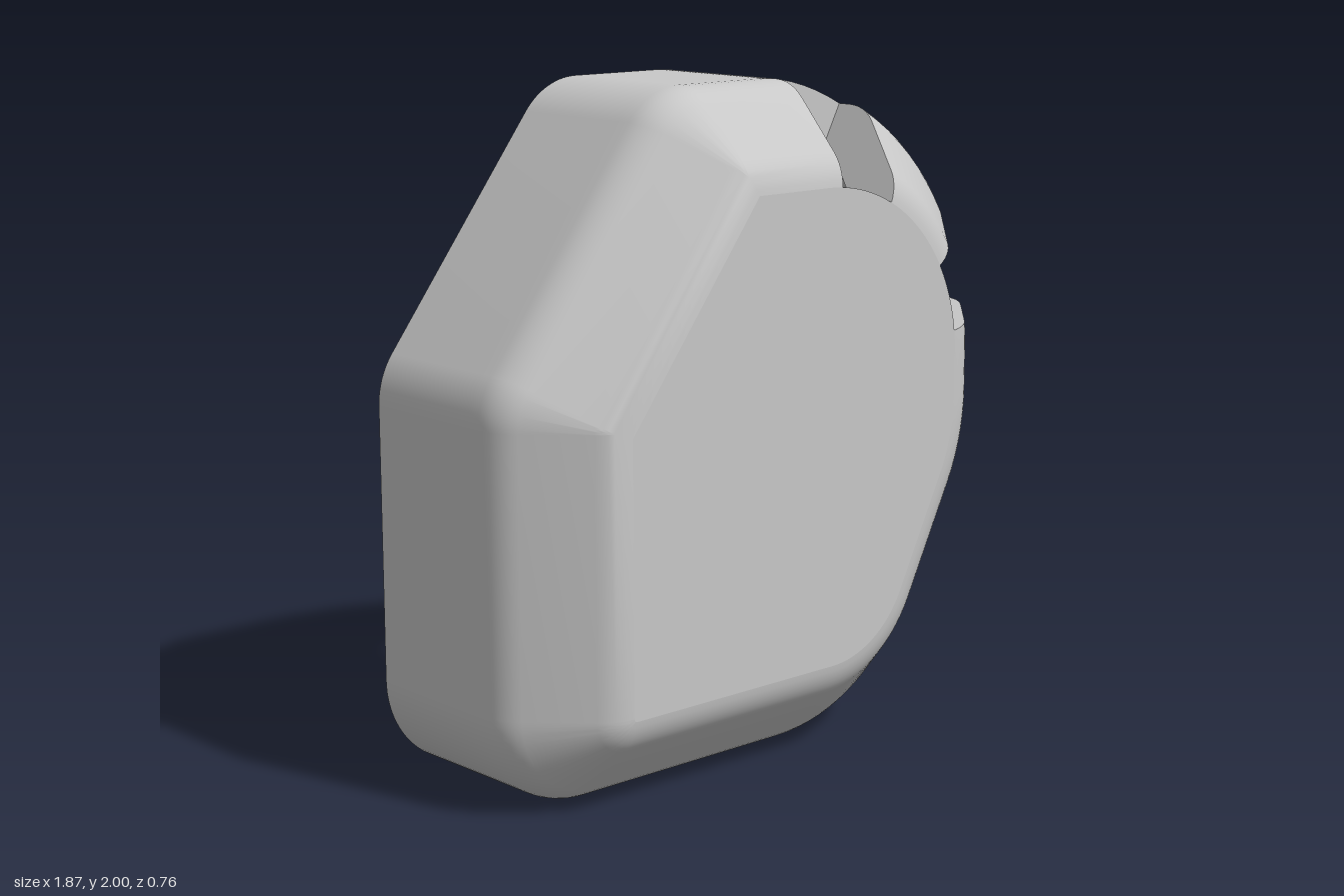
import * as THREE from 'three';
import { toCreasedNormals } from 'three/addons/utils/BufferGeometryUtils.js';

const rad = THREE.MathUtils.degToRad;
const BACK = -0.38, FRONT = 0.38, WALL = 0.17, INSET = 0.29;
const BOSS_Z = -0.145, NOTCH_Z = 0.03, CAVITY_Z = 0.09, PLATE_Z = 0.21;
const SLANT = 142.7, SLOPE = -27; // outward normals of the two slanted sides
const CENTRE = [0.104, 1.17], RADIUS = 0.83; // big corner carrying the notches
const NOTCHES = [[7, 30], [62, 84.5]];

const arc = (x, y, r, a0, a1, kind = '') => ({ x, y, r, a0: rad(a0), a1: rad(a1), kind });

// Counter-clockwise outline as arcs joined by straight lines
const bigCorner = [[0, 7], [7, 30, 'notch'], [30, 62], [62, 84.5, 'notch'], [84.5, 90]]
  .map(([a, b, kind]) => arc(...CENTRE, RADIUS, a, b, kind));
const topCorner = arc(-0.197, 1.76, 0.24, 90, SLANT);
const leftCorner = arc(-0.694, 1.108, 0.24, SLANT, 180);
const footCorner = arc(-0.634, 0.3, 0.3, 180, 270);
const baseCurve = arc(0.13, 0.612, 0.612, 270, 360 + SLOPE);
const sideCurve = arc(0.104, 1.042, 0.83, SLOPE, 0);
const outline = [...bigCorner, topCorner, leftCorner, footCorner, baseCurve, sideCurve];

// Screw bosses: centre, normal and distance of the cavity walls before and after,
// and the stretch of outline each one covers
const BOSS_R = 0.26, FILLET = 0.06, HOLE_R = 0.085;
const bosses = [
  { c: [-0.315, 1.555], before: [90, 1.83], after: [SLANT, 1.293], covers: [topCorner] },
  { c: [-0.67, 0.26], before: [180, 0.764], after: [270, -0.17], covers: [footCorner] },
  { c: [0.66, 0.925], before: [SLOPE, 0.28], after: [7, 0.906], covers: [sideCurve, bigCorner[0]] },
];

// Sample a loop of arcs moved inward; corners smaller than the inset turn sharp
function loop(arcs, inset = 0) {
  const pts = [];
  for (const { x, y, r, a0, a1, kind } of arcs) {
    const n = Math.max(6, Math.ceil(Math.abs(a1 - a0) / rad(4)));
    const R = r - inset, mid = (a0 + a1) / 2;
    for (let i = 0; i <= n; i++) {
      const a = R < 0 ? mid : a0 + (a1 - a0) * i / n;
      const q = R < 0 ? R / Math.cos((a1 - a0) / 2) : R;
      const p = new THREE.Vector2(x + q * Math.cos(a), y + q * Math.sin(a));
      p.kind = i < n ? kind : '';
      pts.push(p);
    }
  }
  return pts;
}

// Boss bulging into the cavity, blended to its walls by two fillets
function bossArcs({ c, before, after }) {
  const C = new THREE.Vector2(...c);
  const blend = ([deg, dist], side) => {
    const n = new THREE.Vector2(Math.cos(rad(deg)), Math.sin(rad(deg)));
    const t = new THREE.Vector2(-n.y, n.x);
    const h = dist - FILLET - n.dot(C);
    return C.clone().addScaledVector(n, h)
      .addScaledVector(t, side * Math.sqrt((BOSS_R + FILLET) ** 2 - h * h));
  };
  const q1 = blend(before, -1), q2 = blend(after, 1);
  const turn = (o, r, a0, a1, dir) => {
    while ((a1 - a0) * dir < 0) a1 += dir * 2 * Math.PI;
    while ((a1 - a0) * dir > 2 * Math.PI) a1 -= dir * 2 * Math.PI;
    return { x: o.x, y: o.y, r, a0, a1, kind: '' };
  };
  const heading = (from, to) => Math.atan2(to.y - from.y, to.x - from.x);
  return [
    turn(q1, FILLET, rad(before[0]), heading(q1, C), 1),
    turn(C, BOSS_R, heading(C, q1), heading(C, q2), -1),
    turn(q2, FILLET, heading(C, q2) + Math.PI, rad(after[0]), 1),
  ];
}

// Skin between successive rings [points, z]; keep() chooses which panels exist
function strip(rings, keep = () => true) {
  const pos = [];
  for (let k = 0; k + 1 < rings.length; k++) {
    const [A, za] = rings[k], [B, zb] = rings[k + 1];
    for (let i = 0; i < A.length; i++) {
      if (!keep(A[i].kind, Math.max(za, zb))) continue;
      const j = (i + 1) % A.length;
      const a = [A[i].x, A[i].y, za], b = [A[j].x, A[j].y, za];
      const c = [B[j].x, B[j].y, zb], d = [B[i].x, B[i].y, zb];
      pos.push(...a, ...b, ...c, ...a, ...c, ...d);
    }
  }
  const g = new THREE.BufferGeometry();
  g.setAttribute('position', new THREE.Float32BufferAttribute(pos, 3));
  return toCreasedNormals(g, 0.5);
}

function flip(g) {
  g.setIndex(Array.from(g.index.array).reverse());
  g.computeVertexNormals();
  return g;
}

function flat(pts, z, holes = []) {
  const s = new THREE.Shape(pts);
  s.holes = holes.map((h) => new THREE.Path(h));
  return new THREE.ShapeGeometry(s).translate(0, 0, z);
}

export function createModel() {
  const model = new THREE.Group();
  model.name = 'housingCover';
  const grey = new THREE.MeshStandardMaterial({ color: 0xc8c8c8, side: THREE.DoubleSide });
  grey.name = 'light grey';
  const add = (name, geometry) => {
    const m = new THREE.Mesh(geometry, grey);
    m.name = name;
    model.add(m);
  };

  // Edge profile [inset, z]: straight wall, then a chamfer with rounded ends
  const round = 0.16, profile = [[0, BACK], [0, NOTCH_Z]];
  for (const [u, z, from, to] of [[round, 0.074, 0, 45], [0.306, FRONT - 0.1592, 45, 84.3]]) {
    for (let i = 0; i <= 6; i++) {
      const a = rad(from + (to - from) * i / 6);
      profile.push([u - round * Math.cos(a), z + round * Math.sin(a)]);
    }
  }
  const solid = (kind, z) => kind !== 'notch' || z <= NOTCH_Z + 1e-6;
  const notchOnly = (kind) => kind === 'notch';

  // Outer skin and front plate
  add('outerShell', strip(profile.map(([u, z]) => [loop(outline, u), z]), solid));
  const plate = loop(outline, INSET);
  add('frontFace', flat(plate, FRONT));
  add('cavityFloor', flip(flat(plate, PLATE_Z)));

  // Cavity: chamfer and wall near the front, wall with bosses near the back
  const inner = loop(outline, WALL);
  add('cavityChamfer', strip([[plate, PLATE_Z], [inner, CAVITY_Z]], solid));
  add('cavityWall', strip([[inner, CAVITY_Z], [inner, NOTCH_Z], [inner, BOSS_Z]], solid));
  const inset = (a) => ({ ...a, r: a.r - WALL });
  const rim = loop([
    ...bigCorner.slice(1).map(inset), ...bossArcs(bosses[0]), inset(leftCorner),
    ...bossArcs(bosses[1]), inset(baseCurve), ...bossArcs(bosses[2]),
  ]);
  add('bossWall', strip([[rim, BOSS_Z], [rim, BACK]]));

  // Back rim, boss ends and the screw holes through them
  const holes = bosses.map(({ c }) => loop([arc(...c, HOLE_R, 0, 360)]));
  add('backRim', flip(flat(loop(outline), BACK, [rim, ...holes])));
  bosses.forEach((boss, i) => {
    const end = [...loop(bossArcs(boss)), ...loop(boss.covers, WALL).reverse()];
    add('bossEnd', flat(end, BOSS_Z, [holes[i]]));
    add('screwHole', strip([[holes[i], BOSS_Z], [holes[i], BACK]]));
  });

  // Notches: ledge, cut edge of the plate, and two radial cheeks each
  add('notchLedges', strip([[loop(outline), NOTCH_Z], [inner, NOTCH_Z]], notchOnly));
  add('notchPlateEdges', strip([[plate, PLATE_Z], [plate, FRONT]], notchOnly));
  const cheek = [...profile.slice(1), [INSET, PLATE_Z], [WALL, CAVITY_Z], [WALL, NOTCH_Z]]
    .map(([u, z]) => new THREE.Vector2(u, z));
  for (const ends of NOTCHES) {
    ends.forEach((deg, high) => {
      const g = flat(cheek, 0), p = g.attributes.position, a = rad(deg);
      for (let i = 0; i < p.count; i++) {
        const r = RADIUS - p.getX(i), z = p.getY(i);
        p.setXYZ(i, CENTRE[0] + r * Math.cos(a), CENTRE[1] + r * Math.sin(a), z);
      }
      g.computeVertexNormals();
      add('notchCheek', high ? flip(g) : g);
    });
  }
  return model;
}
